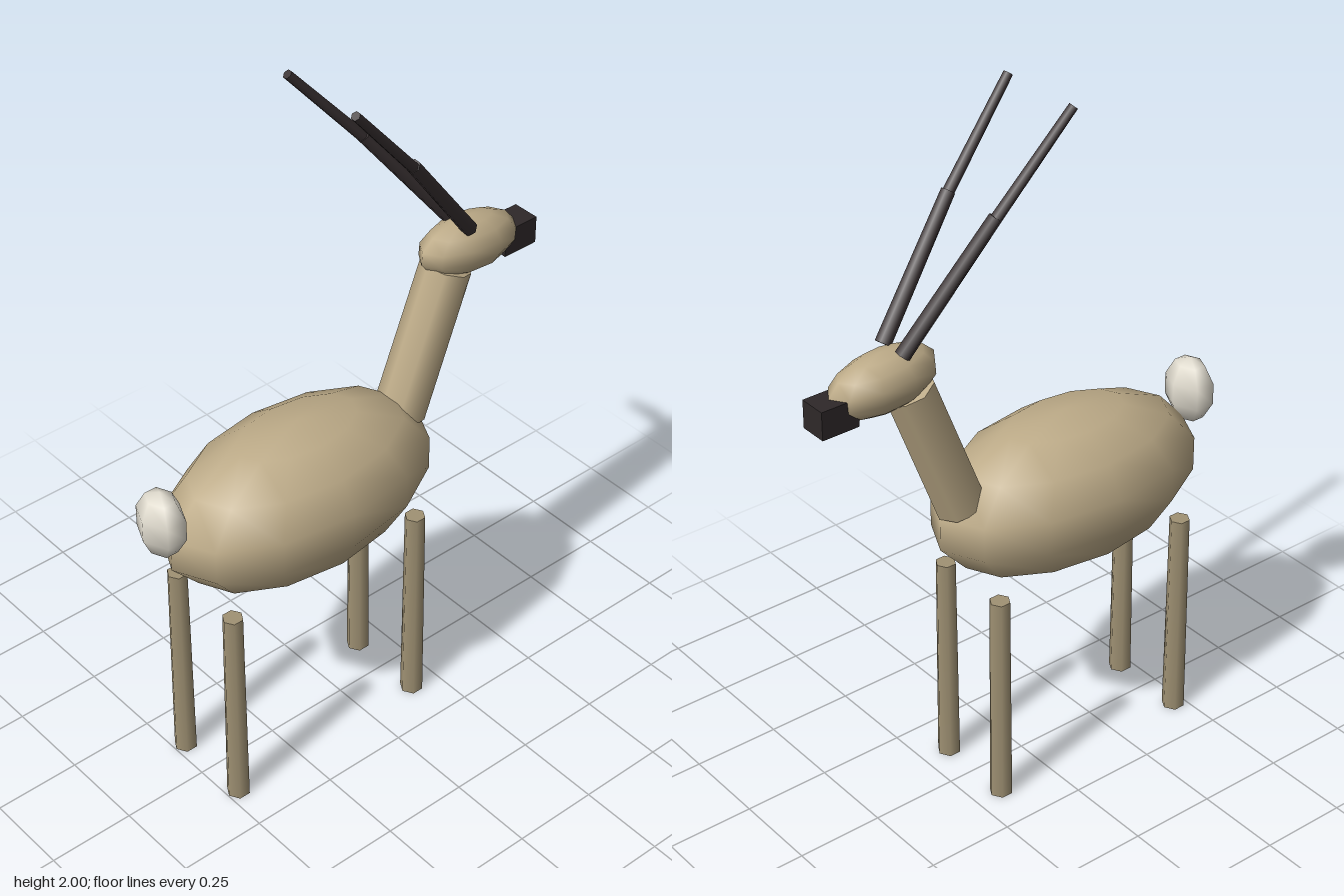
import * as THREE from 'three';

const mat = (name, color) => {
  const m = new THREE.MeshStandardMaterial({ color });
  m.name = name;
  return m;
};

export function createModel() {
  const coat = mat('tan coat', 0xbdab88);
  const legCoat = mat('darker leg coat', 0xa09274);
  const horn = mat('dark horn', 0x3a3233);
  const nose = mat('dark muzzle', 0x2e2829);
  const cream = mat('cream tail', 0xe2ddd0);

  const model = new THREE.Group();
  model.name = 'antelope';

  const add = (name, geometry, material, pos = [0, 0, 0]) => {
    const mesh = new THREE.Mesh(geometry, material);
    mesh.name = name;
    mesh.position.set(...pos);
    model.add(mesh);
    return mesh;
  };

  const ellipsoid = (name, material, pos, radii, w, h) => {
    const mesh = add(name, new THREE.SphereGeometry(1, w, h), material, pos);
    mesh.scale.set(...radii);
    return mesh;
  };

  // Cylinder running between two points
  const rod = (name, material, from, to, rFrom, rTo, sides) => {
    const a = new THREE.Vector3(...from), b = new THREE.Vector3(...to);
    const dir = b.clone().sub(a);
    const mesh = add(name, new THREE.CylinderGeometry(rTo, rFrom, dir.length(), sides), material);
    mesh.position.copy(a).add(b).multiplyScalar(0.5);
    mesh.quaternion.setFromUnitVectors(new THREE.Vector3(0, 1, 0), dir.normalize());
    return mesh;
  };

  // Torso and a shallow swelling under the belly
  ellipsoid('body', coat, [-0.148, 0.826, 0], [0.429, 0.225, 0.236], 12, 7);
  ellipsoid('belly', coat, [-0.148, 0.65, 0], [0.14, 0.048, 0.08], 12, 8);

  // Neck, head and muzzle
  rod('neck', coat, [0.205, 0.9, 0], [0.362, 1.305, 0], 0.072, 0.07, 8);
  const head = ellipsoid('head', coat, [0.438, 1.35, 0], [0.165, 0.082, 0.08], 10, 7);
  head.rotation.z = -0.08;
  add('muzzle', new THREE.BoxGeometry(0.11, 0.08, 0.08), nose, [0.594, 1.315, 0]);

  // Swept-back horns in two sections, mirrored
  for (const [side, s] of [['left', -1], ['right', 1]]) {
    rod(side + 'HornBase', horn, [0.405, 1.425, s * 0.04], [0.155, 1.745, s * 0.094], 0.022, 0.019, 6);
    rod(side + 'HornTip', horn, [0.16, 1.735, s * 0.094], [-0.06, 1.988, s * 0.126], 0.016, 0.013, 6);
  }

  // Four straight legs
  for (const [end, x] of [['front', 0.166], ['hind', -0.465]]) {
    for (const [side, z] of [['Left', -0.117], ['Right', 0.117]]) {
      const leg = add(end + side + 'Leg', new THREE.CylinderGeometry(0.029, 0.033, 0.635, 6), legCoat, [x, 0.3175, z]);
      leg.rotation.y = Math.PI / 6;
    }
  }

  // Tail tuft
  ellipsoid('tail', cream, [-0.591, 0.95, 0], [0.062, 0.1, 0.08], 6, 5);

  return model;
}
